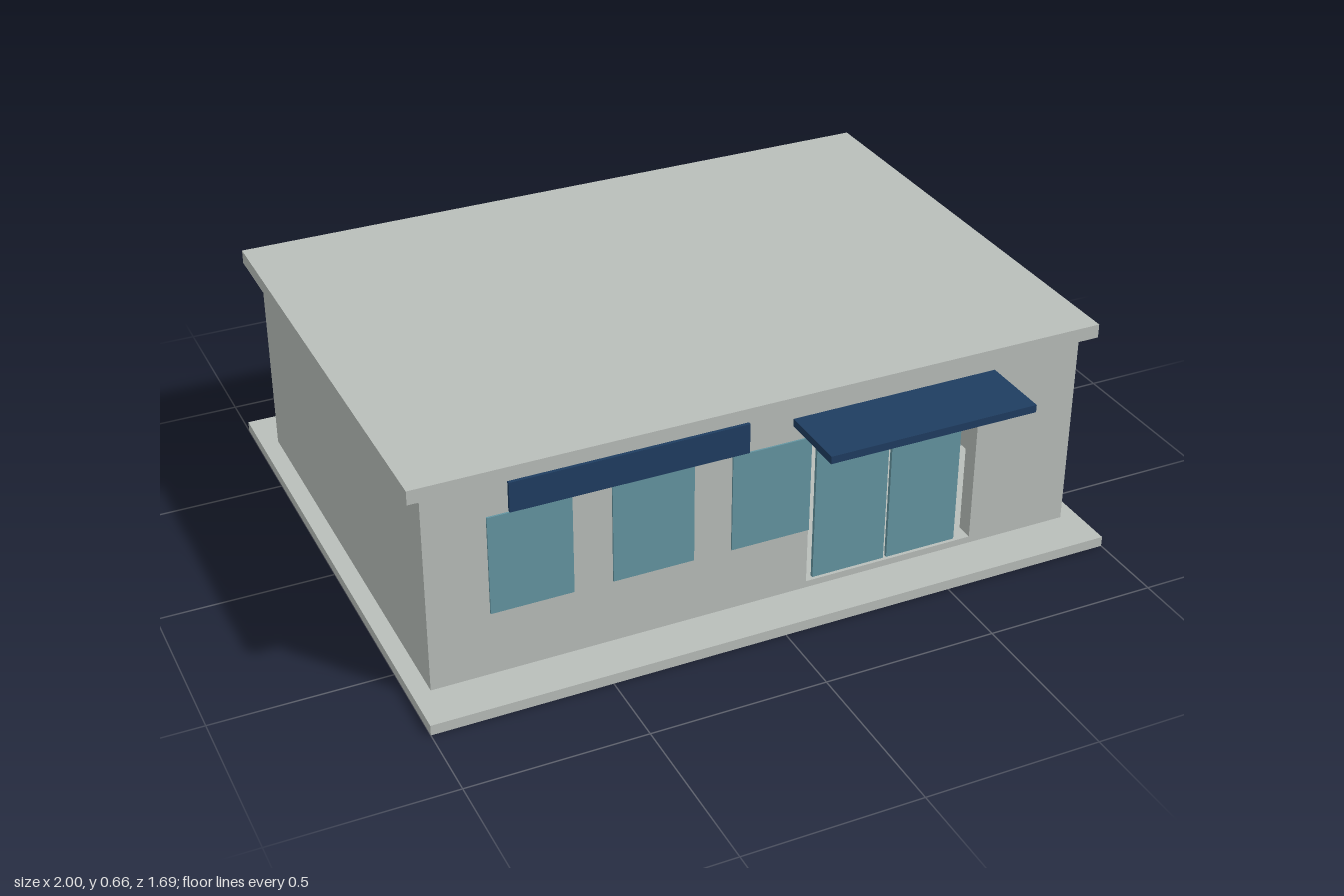
import * as THREE from 'three';

function mat(name, color) {
  const m = new THREE.MeshStandardMaterial({ color });
  m.name = name;
  return m;
}

export function createModel() {
  const model = new THREE.Group();
  model.name = 'smallShop';
  const concrete = mat('concreteGrey', 0xb9beba);
  const navy = mat('navyBlue', 0x1f3d61);
  const glass = mat('tealGlass', 0x6495a1);

  // Box given by its extents on each axis
  function block(name, material, [x0, x1], [y0, y1], [z0, z1]) {
    const mesh = new THREE.Mesh(new THREE.BoxGeometry(x1 - x0, y1 - y0, z1 - z0), material);
    mesh.position.set((x0 + x1) / 2, (y0 + y1) / 2, (z0 + z1) / 2);
    mesh.name = name;
    model.add(mesh);
  }

  // Ground slab and flat roof
  block('baseSlab', concrete, [-1, 1], [0, 0.03], [-0.845, 0.775]);
  block('roofSlab', concrete, [-0.99, 0.99], [0.62, 0.66], [-0.74, 0.67]);

  // Side walls, and a back wall that leaves a slot at each corner
  block('leftWall', concrete, [0.9, 0.95], [0.03, 0.62], [-0.7, 0.59]);
  block('rightWall', concrete, [-0.95, -0.9], [0.03, 0.62], [-0.7, 0.59]);
  block('backWall', concrete, [-0.865, 0.865], [0.03, 0.62], [-0.7, -0.65]);

  // Front wall with the door opening cut out
  const wall = new THREE.Shape();
  wall.moveTo(-0.95, 0.03).lineTo(0.95, 0.03).lineTo(0.95, 0.62).lineTo(-0.95, 0.62).closePath();
  const opening = new THREE.Path();
  opening.moveTo(0.13, 0.05).lineTo(0.13, 0.53).lineTo(0.645, 0.53).lineTo(0.645, 0.05).closePath();
  wall.holes.push(opening);
  const frontWall = new THREE.Mesh(
    new THREE.ExtrudeGeometry(wall, { depth: 0.05, bevelEnabled: false }), concrete);
  frontWall.position.z = 0.59;
  frontWall.name = 'frontWall';
  model.add(frontWall);

  // Window panes
  [-0.78, -0.44, -0.1].forEach((x, i) =>
    block('window' + (i + 1), glass, [x, x + 0.23], [0.22, 0.51], [0.637, 0.645]));

  // Pair of glass doors, set slightly back in the opening
  block('doorRight', glass, [0.155, 0.375], [0.05, 0.53], [0.62, 0.63]);
  block('doorLeft', glass, [0.385, 0.6], [0.05, 0.53], [0.62, 0.63]);

  // Blank sign board, entrance canopy and indoor counter
  block('signBoard', navy, [-0.72, -0.055], [0.513, 0.6], [0.638, 0.65]);
  block('canopy', navy, [0.075, 0.685], [0.555, 0.577], [0.64, 0.845]);
  block('counter', navy, [0.03, 0.63], [0.03, 0.3], [-0.3, -0.1]);

  return model;
}
